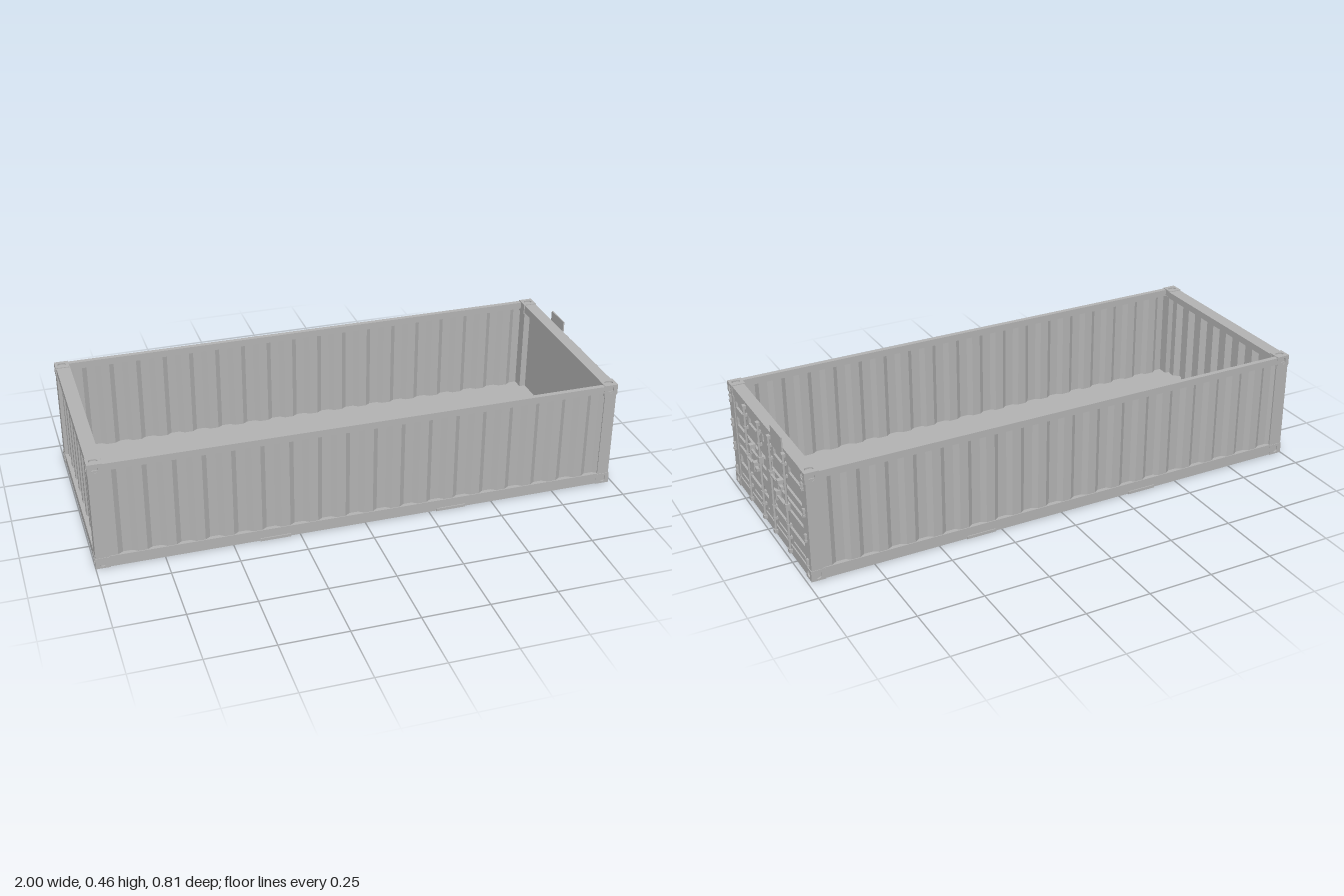
import * as THREE from 'three';

const steel = new THREE.MeshStandardMaterial({ color: 0xb3b3b3 });
steel.name = 'grey steel';

export function createModel() {
  const root = new THREE.Group();
  root.name = 'openTopContainer';

  const add = (name, geometry, parent = root) => {
    const m = new THREE.Mesh(geometry, steel);
    m.name = name;
    parent.add(m);
    return m;
  };
  // Box given by its limits on each axis
  const box = (name, x0, x1, y0, y1, z0, z1, parent = root) => {
    const m = add(name, new THREE.BoxGeometry(Math.abs(x1 - x0), Math.abs(y1 - y0), Math.abs(z1 - z0)), parent);
    m.position.set((x0 + x1) / 2, (y0 + y1) / 2, (z0 + z1) / 2);
    return m;
  };
  const rectPath = (path, x0, x1, y0, y1) => {
    path.moveTo(x0, y0);
    path.lineTo(x1, y0);
    path.lineTo(x1, y1);
    path.lineTo(x0, y1);
    path.closePath();
    return path;
  };
  const extrude = (shape, depth) =>
    new THREE.ExtrudeGeometry(shape, { depth, bevelEnabled: false, curveSegments: 6 });

  // Upright trapezoid-corrugated sheet, centred on x and z
  const corrugated = (length, height, folds, depth, thick) => {
    const p = length / folds, line = [];
    for (let i = 0; i < folds; i++) {
      const x = -length / 2 + i * p;
      line.push([x, -1], [x + 0.32 * p, -1], [x + 0.5 * p, 1], [x + 0.82 * p, 1]);
    }
    line.push([length / 2, -1]);
    const shape = new THREE.Shape();
    line.forEach(([x, s], i) => shape[i ? 'lineTo' : 'moveTo'](x, s * depth / 2 - thick / 2));
    line.reverse().forEach(([x, s]) => shape.lineTo(x, s * depth / 2 + thick / 2));
    shape.closePath();
    return extrude(shape, height).rotateX(-Math.PI / 2);
  };

  // Thin plate with an oval hole, facing +z
  const ovalPlate = (w, h, d, ow, oh) => {
    const shape = rectPath(new THREE.Shape(), -w / 2, w / 2, -h / 2, h / 2);
    const hole = new THREE.Path();
    const r = Math.min(ow, oh) / 2;
    const a = ow / 2 - r, b = oh / 2 - r;
    if (a > b) {
      hole.absarc(a, 0, r, -Math.PI / 2, Math.PI / 2, false);
      hole.absarc(-a, 0, r, Math.PI / 2, Math.PI * 1.5, false);
    } else {
      hole.absarc(0, b, r, 0, Math.PI, false);
      hole.absarc(0, -b, r, Math.PI, Math.PI * 2, false);
    }
    hole.closePath();
    shape.holes.push(hole);
    return extrude(shape, d);
  };

  const X0 = -1, X1 = 0.986, TOP = 0.425;

  // Floor and cross beams underneath
  box('floor', -0.97, 0.97, 0.035, 0.045, -0.385, 0.385);
  for (let i = 0; i < 12; i++) {
    const x = -0.86 + i * 0.156;
    box('crossBeam', x - 0.011, x + 0.011, 0.006, 0.036, -0.382, 0.382);
  }
  box('endCrossBeam', -0.93, -0.912, 0.006, 0.036, -0.382, 0.382);

  // Long sides: rails, corrugated walls, fork pocket plates
  for (const s of [1, -1]) {
    box('topSideRail', -0.95, 0.94, 0.396, TOP - 0.002, s * 0.38, s * 0.399);
    box('bottomSideRail', -0.95, 0.94, 0.002, 0.045, s * 0.38, s * 0.399);
    const wall = add('sideWall', corrugated(1.89, 0.354, 18, 0.013, 0.002));
    wall.position.set(-0.005, 0.043, s * 0.388);
    wall.rotation.y = s > 0 ? 0 : Math.PI;
    for (const x of [-0.345, 0.335])
      box('forkPocketPlate', x - 0.057, x + 0.057, 0.001, 0.012, s * 0.395, s * 0.403);
  }

  // End frames
  for (const s of [1, -1]) {
    box('rearPost', X0 + 0.002, -0.945, 0.03, 0.4, s * 0.35, s * 0.398);
    box('doorPost', 0.937, X1 - 0.003, 0.03, 0.4, s * 0.348, s * 0.398);
  }
  box('rearTopRail', X0 + 0.003, -0.945, 0.396, TOP - 0.002, -0.36, 0.36);
  box('rearBottomRail', X0 + 0.003, -0.945, 0.002, 0.045, -0.36, 0.36);
  box('doorHeader', 0.937, X1 - 0.003, 0.39, TOP - 0.002, -0.36, 0.36);
  box('doorSill', 0.937, X1 - 0.003, 0.002, 0.04, -0.36, 0.36);
  const endWall = add('endWall', corrugated(0.71, 0.354, 8, 0.022, 0.002));
  endWall.position.set(-0.972, 0.043, 0);
  endWall.rotation.y = -Math.PI / 2;

  // Corner castings with oval openings on the three outer faces
  const cw = 0.053, ch = 0.042, cd = 0.051, t = 0.006;
  for (const sx of [1, -1]) for (const sy of [1, -1]) for (const sz of [1, -1]) {
    const c = new THREE.Group();
    c.name = 'cornerCasting';
    c.position.set(sx > 0 ? X1 - cw / 2 : X0 + cw / 2, sy > 0 ? TOP + 0.001 - ch / 2 : ch / 2, sz * (0.4 - cd / 2));
    root.add(c);
    box('castingCore', -sx * cw / 2, sx * (cw / 2 - t), -sy * ch / 2, sy * (ch / 2 - t),
      -sz * cd / 2, sz * (cd / 2 - t), c);
    const side = add('castingSideFace', ovalPlate(cw, ch, t, 0.022, 0.028), c);
    side.rotation.y = sz > 0 ? 0 : Math.PI;
    side.position.z = sz * (cd / 2 - t);
    const end = add('castingEndFace', ovalPlate(cd, ch, t, 0.024, 0.028), c);
    end.rotation.y = sx * Math.PI / 2;
    end.position.x = sx * (cw / 2 - t);
    const cap = add('castingCapFace', ovalPlate(cw, cd, t, 0.032, 0.022), c);
    cap.rotation.x = -sy * Math.PI / 2;
    cap.position.y = sy * (ch / 2 - t);
  }

  // Doors: pressed leaves, seen as a pierced skin over a backing sheet
  const rows = [[0.06, 0.069, 1], [0.107, 0.147, 0], [0.18, 0.195, 0],
    [0.222, 0.237, 0], [0.267, 0.305, 0], [0.34, 0.369, 1]];
  for (const s of [1, -1]) {
    const door = new THREE.Group();
    door.name = s > 0 ? 'leftDoor' : 'rightDoor';
    root.add(door);
    const skin = rectPath(new THREE.Shape(), -s * 0.35, 0, 0.041, 0.389);
    for (const [y0, y1, split] of rows) {
      const spans = split ? [[0.027, 0.043], [0.07, 0.193], [0.22, 0.337]] : [[0.027, 0.337]];
      for (const [a, b] of spans) skin.holes.push(rectPath(new THREE.Path(), -s * a, -s * b, y0, y1));
    }
    const leaf = add('doorSkin', extrude(skin, 0.009), door);
    leaf.rotation.y = Math.PI / 2;
    leaf.position.x = 0.97;
    box('doorBacking', 0.962, 0.9705, 0.04, 0.39, 0, s * 0.35, door);

    // Lock rods with keepers, guides and handles
    for (const [z, y, hub, tip] of [[0.057, 0.258, 0.147, 0.167], [0.205, 0.2, 0.116, 0.098]]) {
      const rod = add('lockRod', new THREE.CylinderGeometry(0.005, 0.005, 0.385, 10), door);
      rod.position.set(0.989, 0.2145, s * z);
      for (const ky of [0.022, 0.404])
        box('rodKeeper', 0.98, 0.996, ky - 0.007, ky + 0.007, s * (z - 0.009), s * (z + 0.009), door);
      for (const gy of [0.075, 0.125, 0.32, 0.37])
        box('rodGuide', 0.977, 0.995, gy - 0.005, gy + 0.005, s * (z - 0.006), s * (z + 0.006), door);
      box('handlePivot', 0.977, 0.997, y - 0.013, y + 0.013, s * (z - 0.009), s * (z + 0.009), door);
      box('handleBar', 0.988, 0.996, y - 0.004, y + 0.004, s * z, s * tip, door);
      box('handleEnd', 0.986, 0.997, y - 0.006, y + 0.006, s * (tip - 0.011), s * (tip + 0.011), door);
      box('handleCatch', 0.977, 0.999, y - 0.017, y + 0.01, s * (hub - 0.005), s * (hub + 0.005), door);
      box('handleHasp', 0.977, 1.0, y + 0.008, y + 0.022, s * (hub - 0.01), s * (hub + 0.01), door);
    }
    // Hinges on the post
    for (const y of [0.064, 0.164, 0.264, 0.366]) {
      box('hinge', 0.978, 0.99, y - 0.016, y + 0.016, s * 0.368, s * 0.376, door);
      for (const e of [-0.011, 0.011])
        box('hingeKnuckle', 0.978, 0.992, y + e - 0.004, y + e + 0.004, s * 0.367, s * 0.379, door);
    }
  }

  // Flat upright plate above the right door
  box('markerPlate', 0.983, 0.988, 0.385, 0.463, -0.191, -0.081);

  return root;
}
